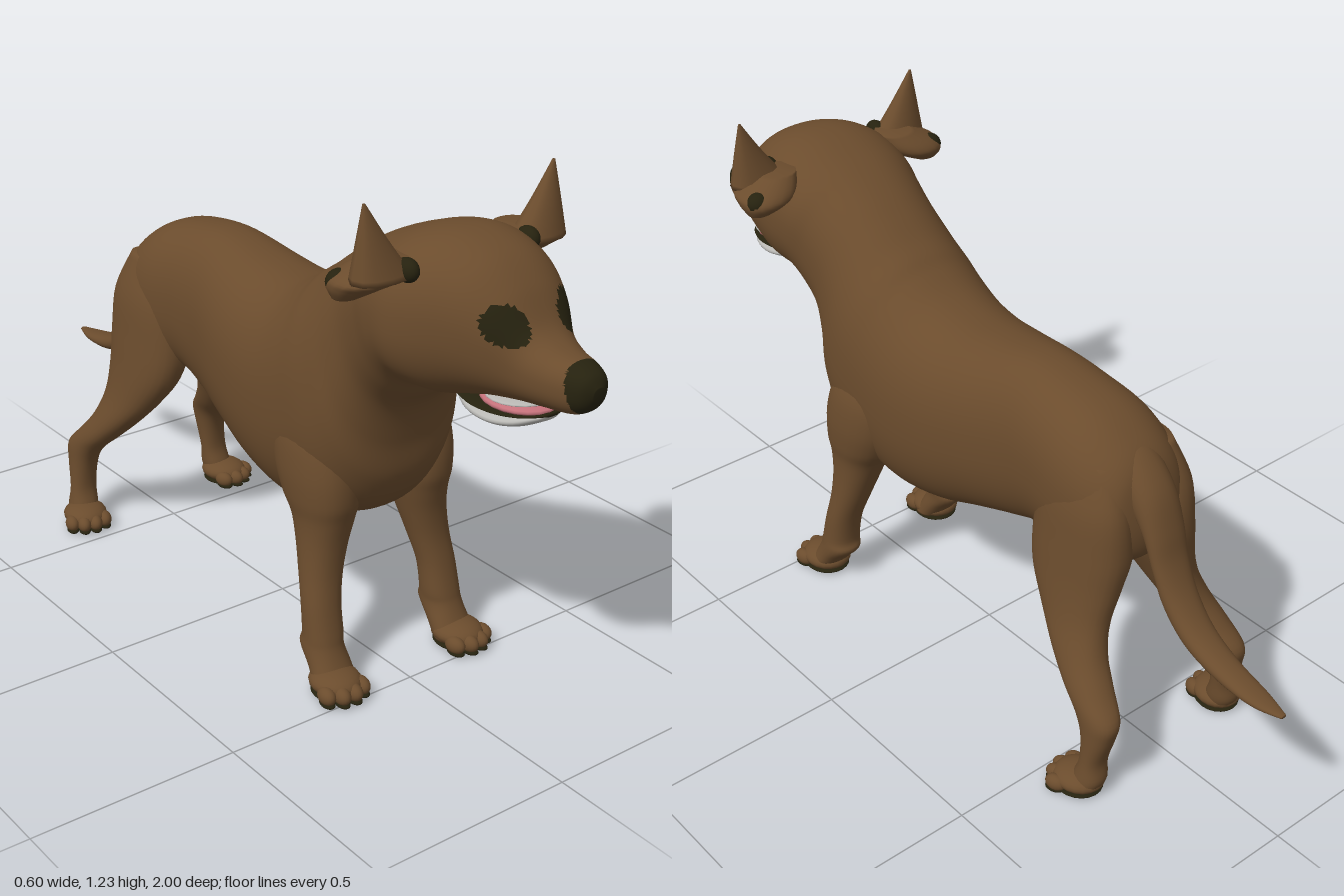
import * as THREE from 'three';

const mat = (name, color) => {
  const m = new THREE.MeshStandardMaterial({ color });
  m.name = name;
  return m;
};

// Uniform Catmull-Rom blend of four numbers
const blend = (a, b, c, d, t) =>
  b + 0.5 * t * (c - a + t * (2 * a - 5 * b + 4 * c - d + t * (3 * (b - c) + d - a)));

// Smooth skin over rings [zTop, yTop, zBottom, yBottom, halfWidth, x]
function loft(name, rings, mats, { steps = 5, sides = 28, power = 2.2, paint = () => 0 } = {}) {
  const rows = [];
  const at = (i) => rings[Math.max(0, Math.min(rings.length - 1, i))];
  for (let i = 0; i < rings.length - 1; i++)
    for (let s = 0; s < steps; s++)
      rows.push(at(i).map((v, k) => blend(at(i - 1)[k], v, at(i + 1)[k], at(i + 2)[k], s / steps)));
  rows.push(at(rings.length));

  const pos = [];
  const squash = (v) => Math.sign(v) * Math.abs(v) ** (2 / power);
  for (const [zt, yt, zb, yb, hw, x] of rows)
    for (let j = 0; j < sides; j++) {
      const a = (j / sides) * Math.PI * 2;
      const c = squash(Math.cos(a)), s = squash(Math.sin(a)) / 2;
      pos.push(x + hw * c, (yt + yb) / 2 + (yt - yb) * s, (zt + zb) / 2 + (zt - zb) * s);
    }
  const ends = [rows[0], rows[rows.length - 1]];
  for (const [zt, yt, zb, yb, , x] of ends) pos.push(x, (yt + yb) / 2, (zt + zb) / 2);

  // Faces are sorted by colour, then joined as groups
  const list = Array.isArray(mats) ? mats : [mats];
  const buckets = list.map(() => []);
  const face = (...v) => {
    const mid = [0, 1, 2].map((k) => (pos[v[0] * 3 + k] + pos[v[1] * 3 + k] + pos[v[2] * 3 + k]) / 3);
    buckets[paint(...mid)].push(...v);
  };
  const n = rows.length;
  for (let j = 0; j < sides; j++) {
    const k = (j + 1) % sides;
    for (let i = 0; i < n - 1; i++) {
      const a = i * sides + j, b = i * sides + k;
      face(a, b, a + sides);
      face(b, b + sides, a + sides);
    }
    face(n * sides, k, j);
    face(n * sides + 1, (n - 1) * sides + j, (n - 1) * sides + k);
  }
  const g = new THREE.BufferGeometry();
  g.setAttribute('position', new THREE.Float32BufferAttribute(pos, 3));
  g.setIndex(buckets.flat());
  let start = 0;
  buckets.forEach((b, i) => { g.addGroup(start, b.length, i); start += b.length; });
  g.computeVertexNormals();
  const mesh = new THREE.Mesh(g, list);
  mesh.name = name;
  return mesh;
}

function ball(name, material, [x, y, z], [rx, ry, rz]) {
  const m = new THREE.Mesh(new THREE.SphereGeometry(1, 20, 14), material);
  m.name = name;
  m.position.set(x, y, z);
  m.scale.set(rx, ry, rz);
  return m;
}

// Downward limb rows [y, zFront, zBack, xInner, xOuter] turned into rings
const limb = (rows, side, x = 0.008) =>
  rows.map(([y, zf, zb, xi, xo]) => [zf, y, zb, y, (xo - xi) / 2, x + side * (xi + xo) / 2]);

export function createModel() {
  const dog = new THREE.Group();
  dog.name = 'dog';
  const coat = mat('brown coat', 0x6b4c2d);
  const dark = mat('dark skin', 0x26220f);
  const pale = mat('pale chin', 0xb9b8b4);
  const pink = mat('pink tongue', 0xc4717a);

  // Trunk, neck and head in one skin, with dark eyes and nose
  const isDark = (x, y, z) => {
    if (z > 0.945 + (0.94 - y) * 0.25 && Math.abs(x - 0.028) < 0.06) return 1;
    const eye = [-0.057, 0.11].some((ex) => ((x - ex) / 0.043) ** 2 + ((y - 0.995) / 0.04) ** 2 < 1);
    return eye && z > 0.7 ? 1 : 0;
  };
  dog.add(loft('body', [
    [-0.575, 0.70, -0.585, 0.62, 0.04, 0.015],
    [-0.55, 0.775, -0.57, 0.55, 0.10, 0.015],
    [-0.5, 0.825, -0.5, 0.50, 0.138, 0.015],
    [-0.42, 0.867, -0.4, 0.49, 0.152, 0.015],
    [-0.3, 0.89, -0.3, 0.49, 0.146, 0.015],
    [-0.2, 0.895, -0.2, 0.455, 0.148, 0.012],
    [-0.07, 0.878, -0.08, 0.415, 0.172, 0.008],
    [0.04, 0.87, 0.05, 0.367, 0.19, 0.005],
    [0.13, 0.885, 0.18, 0.345, 0.2, 0.003],
    [0.2, 0.92, 0.3, 0.365, 0.205, 0.002],
    [0.24, 0.95, 0.4, 0.41, 0.206, 0.002],
    [0.28, 0.977, 0.46, 0.5, 0.197, 0.002],
    [0.33, 1.015, 0.475, 0.6, 0.183, 0.002],
    [0.38, 1.05, 0.5, 0.69, 0.175, 0.002],
    [0.44, 1.085, 0.545, 0.745, 0.18, 0],
    [0.5, 1.112, 0.58, 0.785, 0.192, 0],
    [0.58, 1.138, 0.62, 0.79, 0.197, 0],
    [0.66, 1.142, 0.66, 0.79, 0.184, 0.005],
    [0.74, 1.115, 0.72, 0.805, 0.155, 0.015],
    [0.8, 1.06, 0.77, 0.815, 0.125, 0.022],
    [0.85, 0.985, 0.83, 0.822, 0.088, 0.027],
    [0.9, 0.955, 0.89, 0.828, 0.07, 0.028],
    [0.95, 0.945, 0.95, 0.835, 0.055, 0.028],
    [0.985, 0.93, 0.98, 0.85, 0.038, 0.028],
    [1.0, 0.905, 0.995, 0.875, 0.014, 0.028],
  ], [coat, dark], { steps: 8, sides: 72, power: 2.3, paint: isDark }));

  // Tail, from tip to root
  dog.add(loft('tail', [
    [-1.0, 0.378, -1.0, 0.37, 0.008, 0.03],
    [-0.93, 0.388, -0.93, 0.364, 0.028, 0.03],
    [-0.84, 0.41, -0.83, 0.37, 0.036, 0.028],
    [-0.76, 0.447, -0.73, 0.405, 0.042, 0.026],
    [-0.7, 0.507, -0.66, 0.47, 0.046, 0.024],
    [-0.66, 0.577, -0.62, 0.55, 0.05, 0.022],
    [-0.637, 0.65, -0.585, 0.625, 0.054, 0.02],
    [-0.6, 0.735, -0.54, 0.67, 0.058, 0.018],
    [-0.53, 0.803, -0.48, 0.7, 0.06, 0.016],
    [-0.44, 0.84, -0.42, 0.72, 0.05, 0.015],
  ], coat));

  dog.add(ball('bellySheath', coat, [0.012, 0.458, -0.205], [0.03, 0.032, 0.08]));

  // Open mouth: chin, dark lip, tongue and upper teeth
  dog.add(loft('chin', [
    [0.66, 0.82, 0.66, 0.785, 0.055, 0.015],
    [0.72, 0.808, 0.72, 0.772, 0.085, 0.018],
    [0.78, 0.8, 0.78, 0.765, 0.086, 0.02],
    [0.84, 0.802, 0.83, 0.77, 0.066, 0.024],
    [0.875, 0.806, 0.87, 0.79, 0.022, 0.026],
  ], pale));
  dog.add(loft('lip', [
    [0.68, 0.812, 0.68, 0.802, 0.075, 0.016],
    [0.74, 0.808, 0.74, 0.798, 0.09, 0.018],
    [0.8, 0.806, 0.8, 0.796, 0.084, 0.022],
    [0.85, 0.808, 0.85, 0.798, 0.06, 0.025],
    [0.88, 0.81, 0.88, 0.802, 0.02, 0.026],
  ], dark));
  dog.add(ball('tongue', pink, [0.022, 0.811, 0.785], [0.076, 0.017, 0.09]));
  dog.add(ball('upperTeeth', pale, [0.025, 0.825, 0.79], [0.082, 0.008, 0.075]));

  for (const side of [1, -1]) {
    const label = side > 0 ? 'left' : 'right';

    // Pointed ear above a folded flap
    dog.add(loft(label + 'EarTip', limb([
      [1.23, 0.614, 0.608, 0.25, 0.256],
      [1.15, 0.637, 0.59, 0.197, 0.27],
      [1.068, 0.66, 0.57, 0.135, 0.284],
    ], side, 0), coat, { sides: 12 }));
    dog.add(loft(label + 'EarFlap', limb([
      [1.1, 0.63, 0.54, 0.13, 0.22],
      [1.068, 0.65, 0.51, 0.14, 0.285],
      [1.045, 0.62, 0.505, 0.17, 0.292],
      [1.02, 0.58, 0.53, 0.22, 0.28],
    ], side, 0), coat, { sides: 20 }));
    dog.add(ball(label + 'EarHollow', dark, [side * 0.258, 1.052, 0.545], [0.031, 0.027, 0.028]));
    dog.add(ball(label + 'EarFold', dark, [side * 0.163, 1.083, 0.64], [0.022, 0.026, 0.03]));

    // Legs
    dog.add(loft(label + 'FrontLeg', limb([
      [0.68, 0.36, 0.2, 0.07, 0.175],
      [0.6, 0.4, 0.18, 0.06, 0.207],
      [0.52, 0.42, 0.19, 0.06, 0.216],
      [0.45, 0.422, 0.22, 0.062, 0.212],
      [0.4, 0.41, 0.255, 0.072, 0.204],
      [0.34, 0.4, 0.28, 0.088, 0.204],
      [0.27, 0.4, 0.305, 0.108, 0.21],
      [0.2, 0.412, 0.328, 0.124, 0.218],
      [0.13, 0.428, 0.338, 0.128, 0.222],
      [0.1, 0.436, 0.332, 0.13, 0.225],
      [0.06, 0.455, 0.37, 0.127, 0.228],
      [0.02, 0.48, 0.4, 0.125, 0.235],
    ], side), coat));
    dog.add(loft(label + 'HindLeg', limb([
      [0.78, -0.39, -0.52, 0.05, 0.12],
      [0.68, -0.33, -0.57, 0.03, 0.158],
      [0.57, -0.31, -0.583, 0.02, 0.172],
      [0.48, -0.325, -0.575, 0.045, 0.182],
      [0.4, -0.38, -0.57, 0.08, 0.195],
      [0.33, -0.445, -0.59, 0.11, 0.215],
      [0.27, -0.51, -0.635, 0.135, 0.232],
      [0.22, -0.565, -0.68, 0.158, 0.24],
      [0.17, -0.592, -0.675, 0.168, 0.242],
      [0.1, -0.6, -0.657, 0.176, 0.246],
      [0.05, -0.585, -0.663, 0.178, 0.254],
      [0.02, -0.58, -0.65, 0.185, 0.26],
    ], side), coat));

    // Paws with four toes and a dark sole
    for (const [name, x, z, turn, size] of [
      ['FrontPaw', 0.184, 0.447, 0.1, 1], ['HindPaw', 0.226, -0.595, 0.3, 0.95]]) {
      const paw = new THREE.Group();
      paw.name = label + name;
      paw.position.set(0.006 + side * x, 0, z);
      paw.rotation.y = side * turn;
      paw.scale.setScalar(size);
      paw.add(ball('foot', coat, [0, 0.034, -0.002], [0.06, 0.03, 0.066]));
      paw.add(ball('sole', dark, [0, 0.009, 0], [0.056, 0.009, 0.062]));
      [-0.046, -0.016, 0.016, 0.046].forEach((tx, i) => {
        const tz = i % 3 ? 0.052 : 0.036;
        paw.add(ball('toe', coat, [tx, 0.026, tz], [0.019, 0.021, 0.028]));
        paw.add(ball('toePad', dark, [tx, 0.008, tz + 0.003], [0.016, 0.008, 0.025]));
      });
      dog.add(paw);
    }
  }
  return dog;
}
